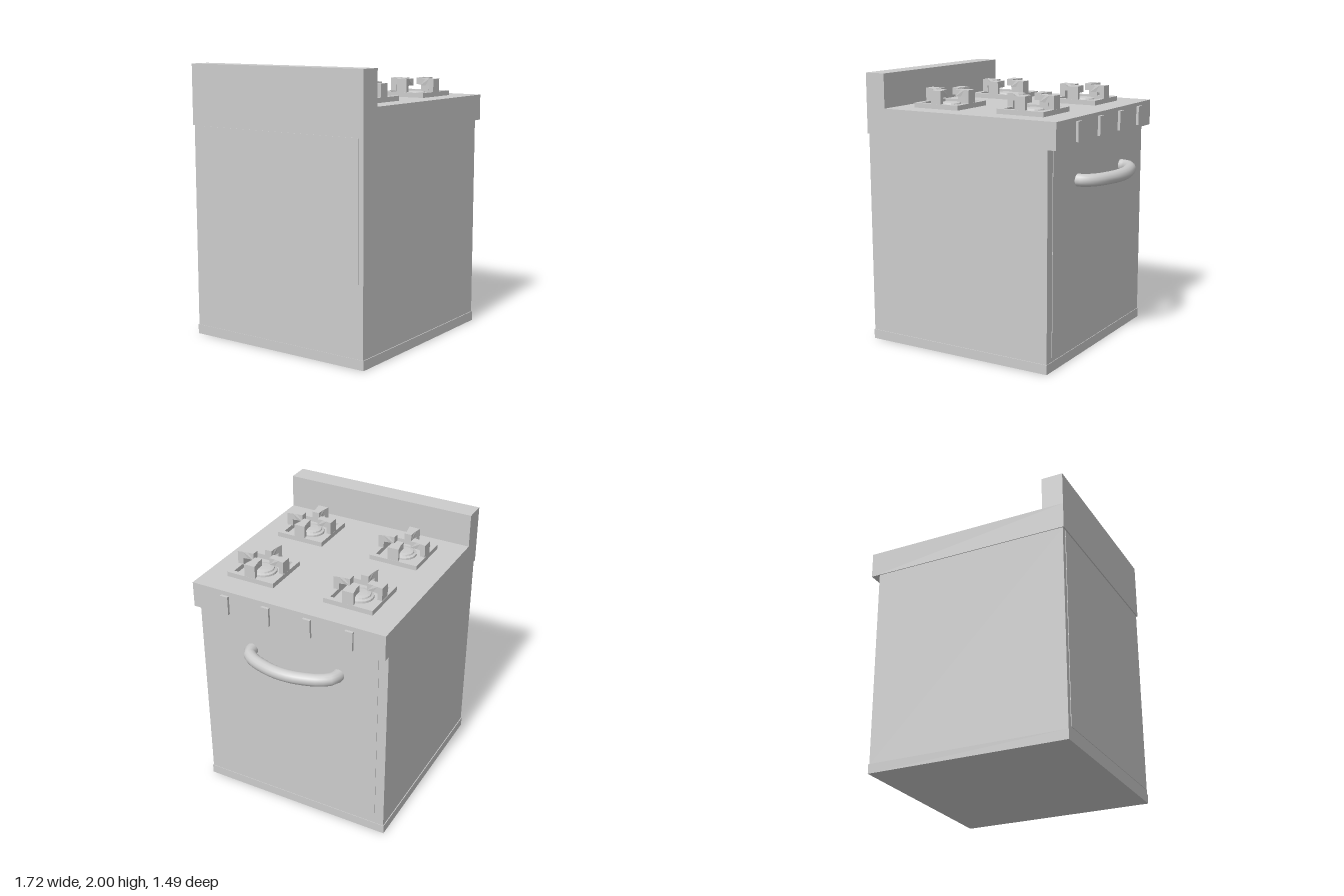
import * as THREE from 'three';

const mat = new THREE.MeshStandardMaterial({ color: 0xcccccc });
const flat = new THREE.MeshStandardMaterial({ color: 0xcccccc, flatShading: true });

function add(parent, name, geometry, material = mat) {
  const mesh = new THREE.Mesh(geometry, material);
  mesh.name = name;
  parent.add(mesh);
  return mesh;
}

// Box given by its min and max on each axis
function box(parent, name, [x0, x1], [y0, y1], [z0, z1]) {
  const mesh = add(parent, name, new THREE.BoxGeometry(x1 - x0, y1 - y0, z1 - z0));
  mesh.position.set((x0 + x1) / 2, (y0 + y1) / 2, (z0 + z1) / 2);
  return mesh;
}

// Square frame lying on the cooktop
function frameGeometry(outer, inner, height) {
  const square = (target, r) => target.moveTo(-r, -r).lineTo(r, -r).lineTo(r, r).lineTo(-r, r).closePath();
  const shape = square(new THREE.Shape(), outer);
  shape.holes.push(square(new THREE.Path(), inner));
  return new THREE.ExtrudeGeometry(shape, { depth: height, bevelEnabled: false }).rotateX(-Math.PI / 2);
}

// Hooked pot support, flaring in width toward its outer end
function armGeometry() {
  const points = [
    [0.185, 0.03], [0.185, 0.13], [0.145, 0.13], [0.11, 0.13], [0.065, 0.13],
    [0.065, 0.08], [0.11, 0.08], [0.145, 0.08], [0.145, 0.03],
  ].map(([x, y]) => new THREE.Vector2(x, y));
  const geo = new THREE.ExtrudeGeometry(new THREE.Shape(points), { depth: 1, bevelEnabled: false });
  const p = geo.attributes.position;
  for (let i = 0; i < p.count; i++) {
    const flare = Math.max(0, (p.getX(i) - 0.11) / 0.075);
    p.setZ(i, (p.getZ(i) - 0.5) * (0.055 + 0.03 * flare));
  }
  geo.computeVertexNormals();
  return geo;
}

export function createModel() {
  const stove = new THREE.Group();
  stove.name = 'stove';

  // Cabinet
  box(stove, 'plinth', [-0.853, 0.638], [0, 0.07], [-0.746, 0.746]);
  box(stove, 'body', [-0.85, 0.634], [0.07, 1.56], [-0.74, 0.74]);
  box(stove, 'ovenDoor', [0.63, 0.638], [0.1, 1.555], [-0.67, 0.67]);
  box(stove, 'backPanel', [-0.854, -0.84], [0.1, 1.555], [-0.7, 0.7]);
  box(stove, 'cooktop', [-0.86, 0.7], [1.56, 1.75], [-0.746, 0.746]);
  box(stove, 'backsplash', [-0.86, -0.7], [1.75, 2], [-0.746, 0.746]);

  // Bowed door handle
  const path = new THREE.CatmullRomCurve3([
    [0.62, -0.37], [0.69, -0.36], [0.75, -0.29], [0.79, -0.18], [0.81, -0.08],
    [0.81, 0.03], [0.79, 0.13], [0.75, 0.24], [0.69, 0.31], [0.62, 0.32],
  ].map(([x, z]) => new THREE.Vector3(x, 1.292, z)));
  add(stove, 'doorHandle', new THREE.TubeGeometry(path, 18, 0.046, 14));

  // Control knobs: round face with an upright grip
  for (const z of [0.47, 0.145, -0.175, -0.492]) {
    const knob = new THREE.Group();
    knob.name = 'knob';
    knob.position.set(0.715, 1.658, z);
    add(knob, 'knobFace', new THREE.CircleGeometry(0.071, 24).rotateY(Math.PI / 2));
    box(knob, 'knobGrip', [0, 0.02], [-0.07, 0.07], [-0.03, 0.03]);
    stove.add(knob);
  }

  // Burners with their grates
  const frame = frameGeometry(0.186, 0.15, 0.035);
  const arm = armGeometry();
  const burner = new THREE.LatheGeometry([
    [0.097, 0], [0.095, 0.014], [0.078, 0.02], [0.074, 0.03], [0.05, 0.035], [0, 0.037],
  ].map(([r, y]) => new THREE.Vector2(r, y)), 20);
  for (const x of [-0.37, 0.325]) {
    for (const z of [-0.37, 0.395]) {
      const hob = new THREE.Group();
      hob.name = 'hob';
      hob.position.set(x, 1.75, z);
      add(hob, 'burner', burner, flat);
      add(hob, 'grateFrame', frame);
      for (let i = 0; i < 4; i++) add(hob, 'grateArm', arm).rotation.y = i * Math.PI / 2;
      stove.add(hob);
    }
  }
  return stove;
}
